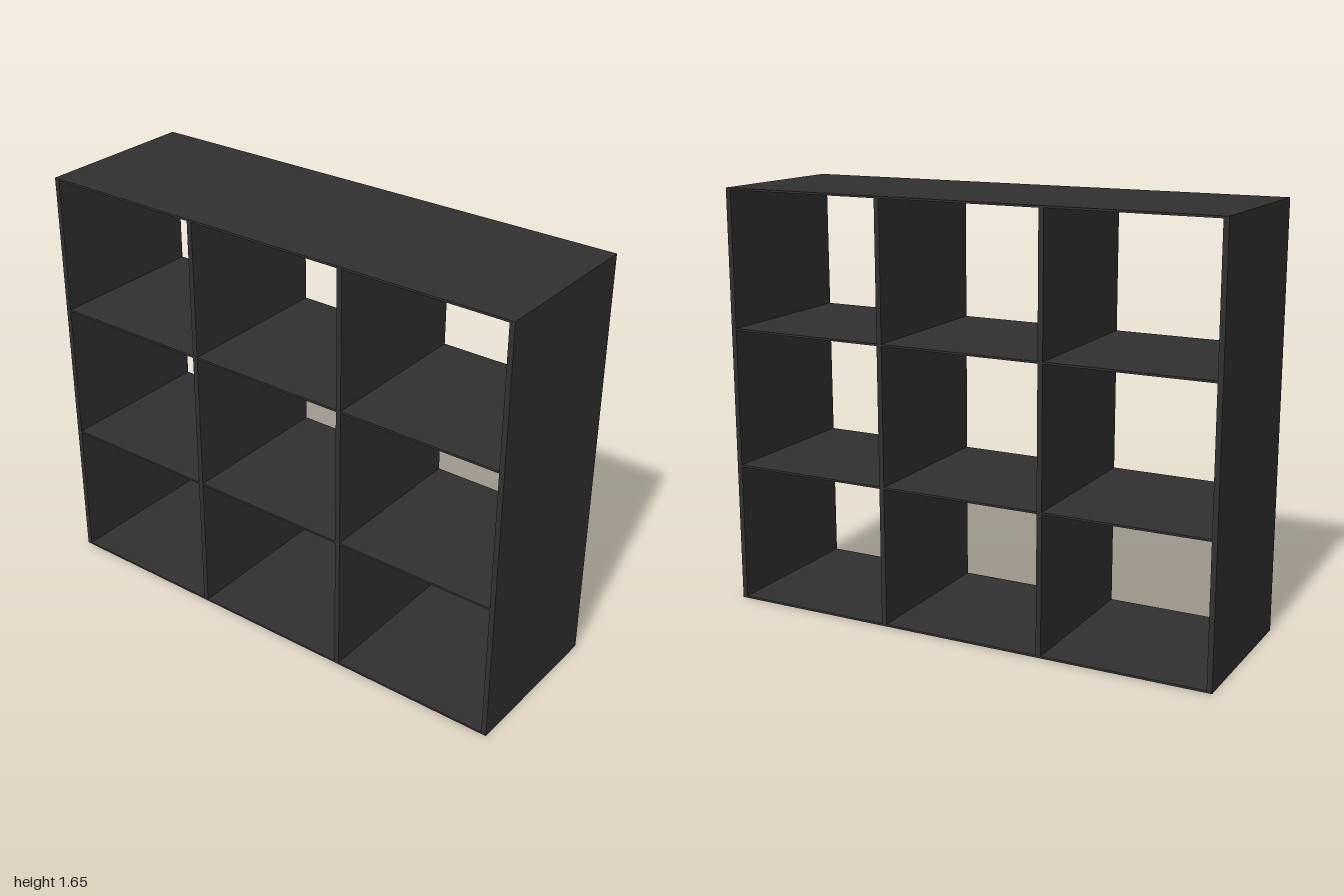
import * as THREE from 'three';

export function createModel() {
  const model = new THREE.Group();
  model.name = 'cubeShelf';
  const charcoal = new THREE.MeshStandardMaterial({ color: 0x303030 });
  charcoal.name = 'charcoal';

  const depth = 0.65, height = 1.65, length = 2;
  const side = 0.02, board = 0.008;

  const addPanel = (name, h, l, y, z, d = depth) => {
    const panel = new THREE.Mesh(new THREE.BoxGeometry(d, h, l), charcoal);
    panel.name = name;
    panel.position.set(0, y, z);
    model.add(panel);
  };

  // Top and bottom boards
  addPanel('bottomBoard', board, length, board / 2, 0);
  addPanel('topBoard', board, length, height - board / 2, 0);

  // Outer sides and inner dividers, standing between the boards
  const pitch = (length - side) / 3;
  for (let i = 0; i < 4; i++) {
    const name = i === 0 || i === 3 ? 'sidePanel' : 'divider';
    addPanel(name, height - 2 * board, side, height / 2, (i - 1.5) * pitch);
  }

  // Two shelf levels, one short shelf per bay
  for (const y of [0.555, 1.104]) {
    for (let bay = -1; bay <= 1; bay++) {
      addPanel('shelf', board, pitch - side, y, bay * pitch);
    }
  }
  return model;
}
